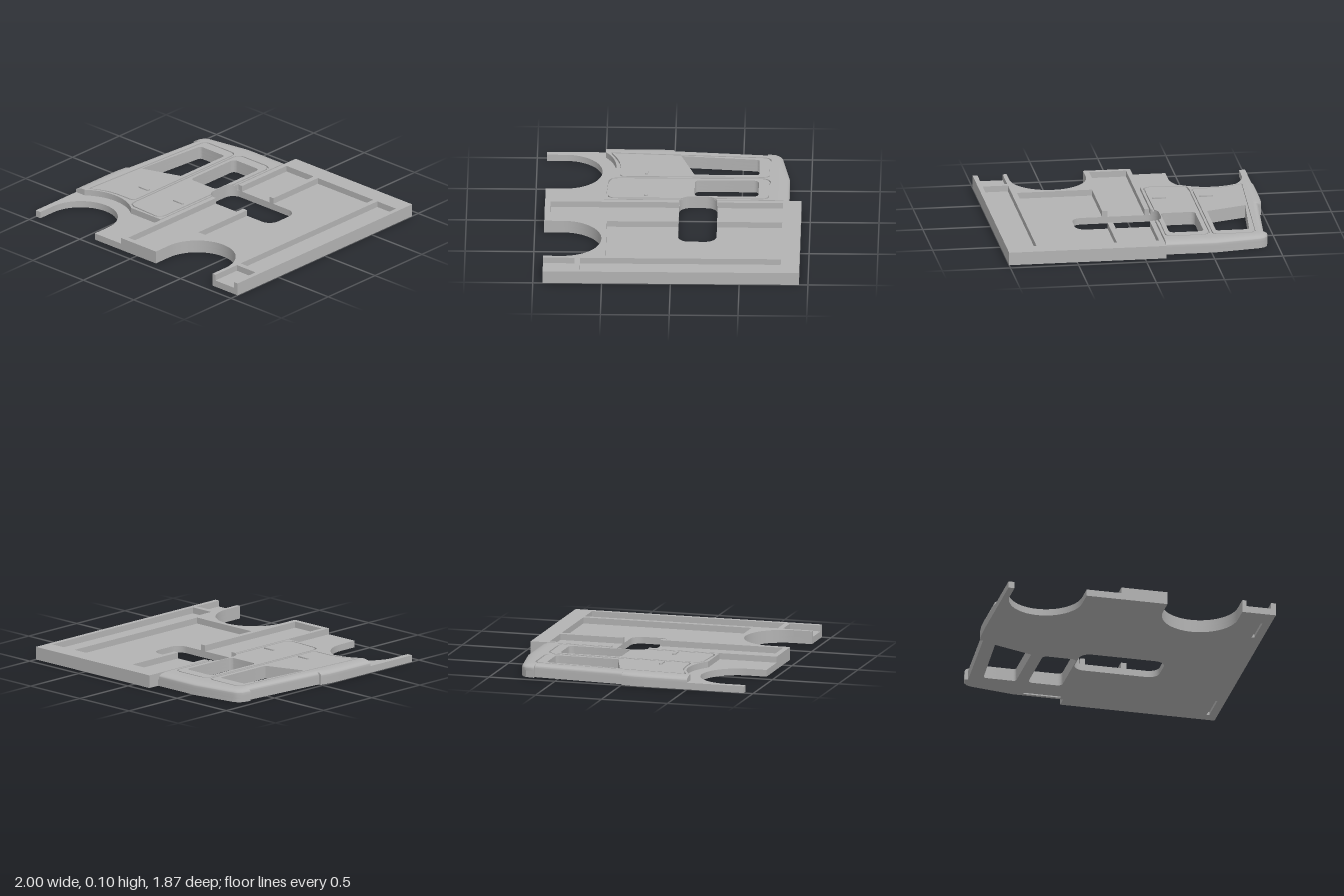
import * as THREE from 'three';
import { toCreasedNormals } from 'three/addons/utils/BufferGeometryUtils.js';

const FLOOR = 0.05, TOP = 0.095, SKIN = 0.08;

// Points are [x, z]; the shape is drawn flat and laid down afterwards
const vec = (pts) => pts.map(([x, z]) => new THREE.Vector2(x, -z));

// Circular arc as [x, z] points, angles in degrees (90 points to -z)
function arc(cx, cz, r, a0, a1, n = 10) {
  return Array.from({ length: n + 1 }, (_, i) => {
    const a = THREE.MathUtils.degToRad(a0 + (a1 - a0) * i / n);
    return [cx + r * Math.cos(a), cz - r * Math.sin(a)];
  });
}

function roundRect(x0, x1, z0, z1, r, n = 8) {
  return [
    ...arc(x1 - r, z0 + r, r, 0, 90, n), ...arc(x0 + r, z0 + r, r, 90, 180, n),
    ...arc(x0 + r, z1 - r, r, 180, 270, n), ...arc(x1 - r, z1 - r, r, 270, 360, n),
  ];
}

const rect = (x0, x1, z0, z1) => [[x0, z0], [x1, z0], [x1, z1], [x0, z1]];

export function createModel() {
  const model = new THREE.Group();
  const grey = new THREE.MeshStandardMaterial({ color: 0xb3b3b3 });
  grey.name = 'plain grey';

  function add(name, geometry) {
    const mesh = new THREE.Mesh(geometry, grey);
    mesh.name = name;
    model.add(mesh);
  }

  function plate(name, outline, holes, y0, y1) {
    const shape = new THREE.Shape(vec(outline));
    for (const h of holes) shape.holes.push(new THREE.Path(vec(h)));
    const g = new THREE.ExtrudeGeometry(shape, { depth: y1 - y0, bevelEnabled: false });
    g.rotateX(-Math.PI / 2).translate(0, y0, 0);
    add(name, toCreasedNormals(g, 0.5));
  }

  // Cab edge: outer point and inner point of the rounded border, roof to bumper
  const edge = [
    [-0.165, -0.845, -0.165, -0.76], [-0.53, -0.845, -0.53, -0.76],
    [-0.86, -0.79, -0.83, -0.715], [-0.895, -0.775, -0.85, -0.71],
    [-0.92, -0.745, -0.862, -0.70], [-0.932, -0.68, -0.867, -0.68],
    [-0.907, -0.68, -0.867, -0.68], [-0.962, 0, -0.925, 0],
    [-0.985, 0, -0.925, 0.005], [-0.996, 0.08, -0.925, 0.08], [-1, 0.2, -0.92, 0.2],
    [-1, 0.5, -0.92, 0.5],
  ];
  const outer = edge.map((e) => [e[0], e[1]]);
  const inner = edge.map((e) => [e[2], e[3]]).filter((_, i) => i !== 6);

  const frontWindow = [
    ...arc(-0.585, -0.6, 0.02, 0, 90, 4), ...arc(-0.785, -0.595, 0.025, 90, 175, 4),
    [-0.86, -0.05], [-0.565, -0.15],
  ];
  const rearWindow = roundRect(-0.475, -0.222, -0.62, -0.155, 0.035);
  const opening = roundRect(-0.215, 0.42, -0.325, -0.045, 0.08);

  // Base slab with wheel arches; the lowest layer has fixing slots
  const base = [
    [-0.155, -0.845], ...outer, [-1, 0.93], [-0.955, 0.93],
    ...arc(-0.685, 0.79, 0.27, 180, 0, 32), [-0.415, 0.93],
    [0.19, 0.93], ...arc(0.47, 0.79, 0.28, 180, 0, 32), [0.75, 0.93],
    [1, 0.93], [1, -0.935], [-0.155, -0.935],
  ];
  const cuts = [frontWindow, rearWindow, opening];
  const slots = [
    rect(0.92, 0.94, -0.85, -0.6), rect(0.92, 0.94, 0.52, 0.77),
    rect(-0.46, -0.18, -0.82, -0.80),
  ];
  plate('baseUnderside', base, [...cuts, ...slots], 0, 0.025);
  plate('baseSlab', base, cuts, 0.025, FLOOR);

  // Cab panel above the front wheel arch, notched at the opening
  const fender = arc(-0.685, 0.79, 0.37, 128.4, 51.6, 20);
  const notch = [
    ...arc(-0.135, -0.125, 0.08, 270, 180, 8), ...arc(-0.135, -0.245, 0.08, 180, 90, 8),
  ].filter((p) => p[0] < -0.165);
  plate('cabPanel', [
    ...inner, ...fender, [-0.165, 0.5], ...notch,
  ], [frontWindow, rearWindow], FLOOR, SKIN);

  // Doors, slightly smaller than their openings so a groove remains
  const frontDoor = (d) => [
    ...arc(-0.575, -0.655, 0.04 + d, 0, 90, 6), ...arc(-0.795, -0.655, 0.04 + d, 90, 175, 6),
    [-0.895 - d, 0.4], [-0.9 - d, 0.455 + d], [-0.83, 0.42 + d], [-0.76, 0.397 + d],
    [-0.685, 0.388 + d], ...arc(-0.565, 0.358, 0.03 + d, 270, 360, 6),
  ];
  const rearDoor = (d) => {
    const x = -0.19 + d;
    return [
      ...arc(-0.24, -0.645, 0.05 + d, 0, 90, 6), ...arc(-0.45, -0.645, 0.05 + d, 90, 180, 6),
      [-0.5 - d, 0.4], [-0.49 - d * 0.9, 0.445 + d * 0.6], [-0.455, 0.462 + d],
      ...arc(-0.24, 0.424, 0.05 + d, 270, 360, 6),
      ...notch.filter((p) => p[0] < x),
    ];
  };
  plate('frontDoor', frontDoor(0), [frontWindow], SKIN, TOP);
  plate('rearDoor', rearDoor(0), [rearWindow], SKIN, TOP);

  // Cab skin: its right side runs around the rear door opening
  const around = rearDoor(0.012).filter((p) => !notch.includes(p)).reverse();
  plate('cabSkin', [
    ...inner, ...fender, [-0.165, 0.5], [-0.165, -0.05], [-0.178, -0.06],
    ...around, [-0.178, -0.31], [-0.165, -0.32],
  ], [frontDoor(0.012)], SKIN, TOP);

  // Rounded cab border from the roof down to the bumper
  const N = 9, pos = [];
  const section = edge.map(([ox, oz, ix, iz]) => {
    const pts = [new THREE.Vector3(ox, FLOOR, oz)];
    for (let j = 0; j <= N; j++) {
      const a = j / N * Math.PI / 2, t = 1 - Math.cos(a);
      pts.push(new THREE.Vector3(ox + (ix - ox) * t, 0.068 + (TOP - 0.068) * Math.sin(a), oz + (iz - oz) * t));
    }
    return pts;
  });
  const tri = (...p) => p.forEach((v) => pos.push(v.x, v.y, v.z));
  for (let i = 0; i < edge.length - 1; i++) {
    const s = section[i], t = section[i + 1];
    for (let j = 0; j <= N; j++) {
      tri(s[j], t[j], s[j + 1]);
      tri(t[j], t[j + 1], s[j + 1]);
    }
  }
  // End caps
  [0, edge.length - 1].forEach((i) => {
    const s = section[i], q = new THREE.Vector3(edge[i][2], FLOOR, edge[i][3]);
    for (let j = 0; j <= N; j++) i === 0 ? tri(q, s[j], s[j + 1]) : tri(q, s[j + 1], s[j]);
  });
  const border = new THREE.BufferGeometry();
  border.setAttribute('position', new THREE.Float32BufferAttribute(pos, 3));
  border.computeVertexNormals();
  add('cabBorder', toCreasedNormals(border, 0.6));

  // Raised frame of the body around its sunken panels
  const rails = [
    ['backRail', -0.155, 1, -0.935, -0.8],
    ['cabSideRail', -0.155, -0.12, -0.8, -0.325], ['cabSideRail', -0.155, -0.12, -0.045, 0.93],
    ['frontRail', -0.12, 0.15, 0.89, 0.93],
    ['middleRail', 0.15, 0.19, -0.8, -0.325], ['middleRail', 0.15, 0.19, -0.045, 0.93],
    ['innerRail', 0.74, 0.78, -0.8, 0.475], ['innerRail', 0.75, 0.78, 0.475, 0.93],
    ['outerRail', 0.965, 1, -0.8, 0.93], ['crossRail', 0.78, 0.965, 0.66, 0.7],
  ];
  for (const [name, x0, x1, z0, z1] of rails) plate(name, rect(x0, x1, z0, z1), [], FLOOR, TOP);
  plate('wheelArchRail', [[0.75, 0.475], [0.19, 0.475], ...arc(0.47, 0.79, 0.28, 180, 0, 32)], [], FLOOR, TOP);

  // Door handles
  for (const x of [-0.66, -0.315]) {
    plate('doorHandle', roundRect(x, x + 0.1, 0.187, 0.207, 0.009, 4), [], TOP, 0.105);
  }
  return model;
}
